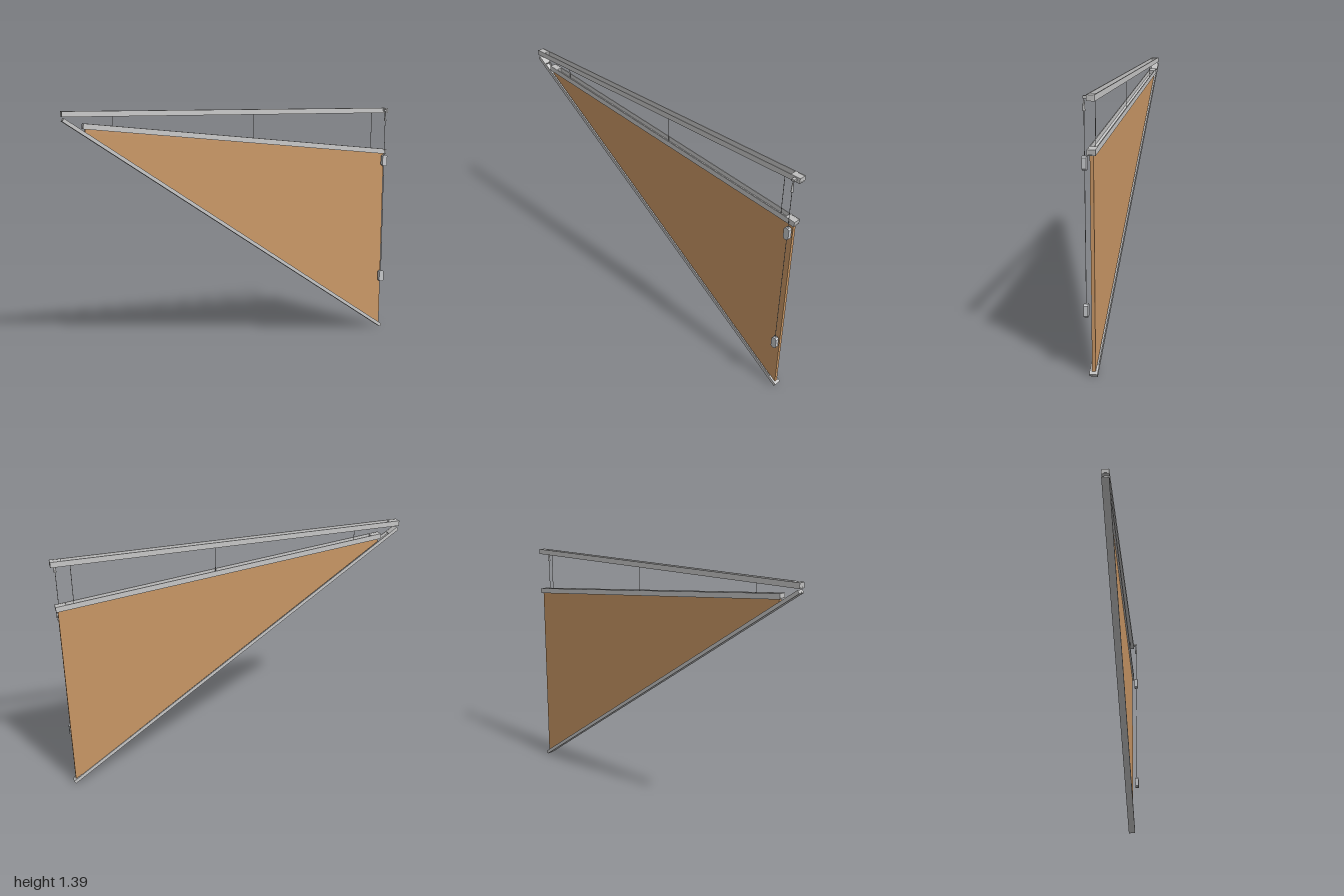
import * as THREE from 'three';

const Z = -0.0135; // depth centre of rails and fabric
const W = 0.041;   // rail width
const CORD_X = 0.973, CORD_Z = 0.023;

export function createModel() {
  const group = new THREE.Group();
  const mat = (name, color) => {
    const m = new THREE.MeshStandardMaterial({ color });
    m.name = name;
    return m;
  };
  const aluminium = mat('aluminium', 0xcacaca);
  const capGrey = mat('cap grey', 0xbebebe);
  const cordGrey = mat('cord grey', 0x999999);
  const weightGrey = mat('weight grey', 0xc8cacd);
  const fabricTan = mat('fabric tan', 0xcc9966);

  const add = (parent, name, geo, m, x = 0, y = 0, z = 0) => {
    const mesh = new THREE.Mesh(geo, m);
    mesh.name = name;
    mesh.position.set(x, y, z);
    parent.add(mesh);
    return mesh;
  };
  const polygon = (pts) => new THREE.Shape(pts.map(([x, y]) => new THREE.Vector2(x, y)));
  const extrude = (pts, depth) =>
    new THREE.ExtrudeGeometry(polygon(pts), { depth, bevelEnabled: false }).translate(0, 0, -depth / 2);

  // Upward-open channel between two points, closed by an insert at each end
  const rail = (name, [ax, ay], [bx, by], h) => {
    const g = new THREE.Group();
    g.name = name;
    const len = Math.hypot(bx - ax, by - ay);
    const w = W / 2, t = 0.005, k = h / 2;
    const profile = [[-w, -k], [w, -k], [w, k], [w - t, k], [w - t, t - k], [t - w, t - k], [t - w, k], [-w, k]];
    add(g, name + 'Channel', extrude(profile, len).rotateY(Math.PI / 2), aluminium);
    for (const s of [-1, 1])
      add(g, name + 'EndInsert', new THREE.BoxGeometry(0.058, h - t - 0.002, W - 2 * t),
        capGrey, s * (len / 2 - 0.029), t / 2, 0);
    g.position.set((ax + bx) / 2, (ay + by) / 2, Z);
    g.rotation.z = Math.atan2(by - ay, bx - ax);
    group.add(g);
  };
  rail('headRail', [-1, 1.376], [1, 1.376], 0.03);
  rail('middleRail', [-0.888, 1.311], [0.996, 1.123], 0.03);
  rail('bottomRail', [-0.994, 1.346], [0.994, 0.0085], 0.02);

  // Fabric panel tucked between the two sloping rails
  add(group, 'fabric', extrude([[-0.876, 1.276], [0.985, 0.021], [0.985, 1.112], [-0.876, 1.298]], 0.018),
    fabricTan, 0, 0, Z);

  // Lift cords between head rail and middle rail
  const cord = (name, x, z, y0, y1) =>
    add(group, name, new THREE.CylinderGeometry(0.0016, 0.0016, y1 - y0, 8), cordGrey, x, (y0 + y1) / 2, z);
  for (const x of [-0.725, 0.11, 0.897])
    cord('liftCord', x, Z, 1.123 + (0.996 - x) * 0.0998 - 0.012, 1.364);

  // Pull cord with its guide, stopper and weights
  cord('pullCord', CORD_X, CORD_Z, 0.34, 1.375);
  add(group, 'cordGuide', new THREE.BoxGeometry(0.018, 0.012, 0.021), capGrey, CORD_X, 1.377, 0.0165);
  add(group, 'cordStopper', new THREE.CylinderGeometry(0.004, 0.007, 0.05, 12), capGrey, CORD_X, 1.337, CORD_Z);
  const a = 0.016, b = 0.034, c = 0.008;
  const octagon = [[c - a, -b], [a - c, -b], [a, c - b], [a, b - c], [a - c, b], [c - a, b], [-a, b - c], [-a, c - b]];
  for (const y of [1.07, 0.34])
    add(group, 'cordWeight', extrude(octagon, 0.022), weightGrey, CORD_X, y, CORD_Z);

  return group;
}
